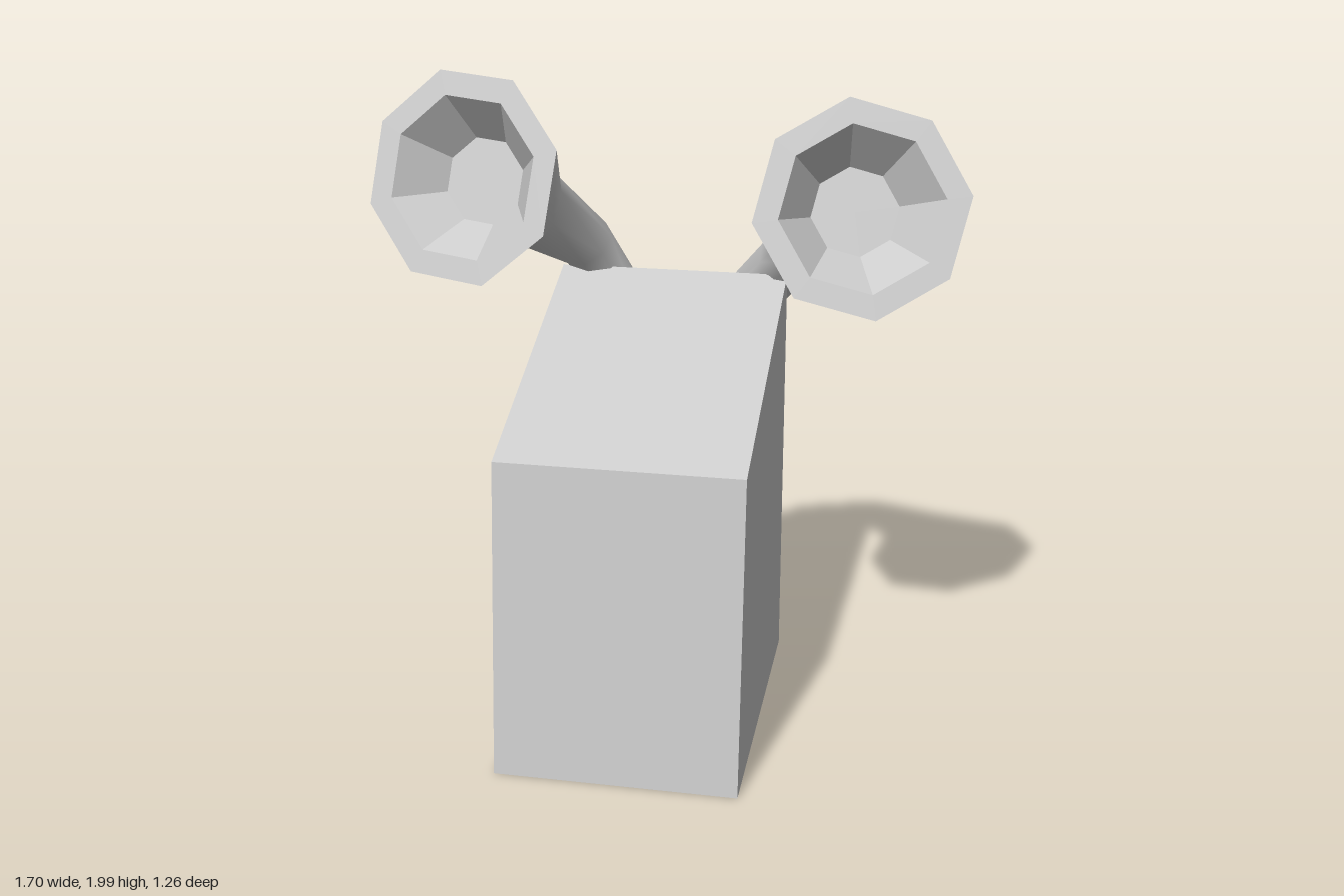
import * as THREE from 'three';

const SIDES = 8;
const grey = new THREE.MeshStandardMaterial({ color: 0xcccccc });
const flatGrey = new THREE.MeshStandardMaterial({ color: 0xcccccc, flatShading: true });

// Skin a list of rings { c: centre, q: orientation, r: radius }
function loft(rings, turn) {
  const pos = [], index = [];
  rings.forEach(({ c, q, r }, i) => {
    for (let j = 0; j < SIDES; j++) {
      const a = turn + (j / SIDES) * Math.PI * 2;
      const p = new THREE.Vector3(r * Math.cos(a), r * Math.sin(a), 0).applyQuaternion(q).add(c);
      pos.push(p.x, p.y, p.z);
      if (i === 0) continue;
      const k = (j + 1) % SIDES, lo = (i - 1) * SIDES, hi = i * SIDES;
      index.push(lo + j, lo + k, hi + k, lo + j, hi + k, hi + j);
    }
  });
  const geo = new THREE.BufferGeometry();
  geo.setAttribute('position', new THREE.Float32BufferAttribute(pos, 3));
  geo.setIndex(index);
  geo.computeVertexNormals();
  return geo;
}

// Bent pipe that flares into a hollow octagonal bell
function makeHorn(name, path, radii, facing, turnDegrees) {
  const pts = path.map((p) => new THREE.Vector3(...p));
  const last = pts.length - 1;
  const normal = new THREE.Vector3(...facing).normalize();
  const dir = (i) => pts[i + 1].clone().sub(pts[i]).normalize();
  const tangents = pts.map((p, i) => {
    if (i === 0) return new THREE.Vector3(0, 1, 0);
    if (i === last) return normal;
    return dir(i - 1).add(dir(i)).normalize();
  });

  // carry the ring orientation from the mouth back to the foot without twist
  const rings = [];
  let q = new THREE.Quaternion().setFromUnitVectors(new THREE.Vector3(0, 0, 1), normal);
  for (let i = last; i >= 0; i--) {
    if (i < last) {
      q = new THREE.Quaternion().setFromUnitVectors(tangents[i + 1], tangents[i]).multiply(q);
    }
    rings.unshift({ c: pts[i], q, r: radii[i] });
  }

  const mouth = rings[last];
  const inside = (r, depth) => ({ c: mouth.c.clone().addScaledVector(normal, -depth), q: mouth.q, r });
  const turn = THREE.MathUtils.degToRad(turnDegrees);

  const horn = new THREE.Group();
  horn.name = name;
  const shell = new THREE.Mesh(loft(rings, turn), grey);
  shell.name = 'hornShell';
  // flat rim, tapering inner wall and floor of the bell
  const bell = new THREE.Mesh(
    loft([mouth, inside(0.237, 0), inside(0.128, 0.13), inside(0, 0.13)], turn).toNonIndexed(),
    flatGrey
  );
  bell.geometry.computeVertexNormals();
  bell.name = 'hornRimAndBowl';
  horn.add(shell, bell);
  return horn;
}

export function createModel() {
  const model = new THREE.Group();
  model.name = 'hornCabinet';

  // Cabinet: side profile (z, y) extruded across x
  const profile = new THREE.Shape(
    [[0.63, 0], [0.53, 0.95], [-0.33, 1.295], [-0.33, 0]].map(([z, y]) => new THREE.Vector2(-z, y))
  );
  const bodyGeo = new THREE.ExtrudeGeometry(profile, { depth: 0.725, bevelEnabled: false });
  bodyGeo.rotateY(Math.PI / 2);
  bodyGeo.translate(-0.44, 0, 0);
  const body = new THREE.Mesh(bodyGeo, flatGrey);
  body.name = 'cabinet';
  model.add(body);

  // Box behind the cabinet that carries the horns
  const box = new THREE.Mesh(new THREE.BoxGeometry(0.59, 0.425, 0.26), flatGrey);
  box.position.set(-0.08, 0.748, -0.5);
  box.name = 'rearBox';
  model.add(box);

  // Horns
  const radii = [0.085, 0.09, 0.09, 0.13, 0.31];
  model.add(
    makeHorn('leftHorn',
      [[-0.005, 0.94, -0.495], [0.07, 1.08, -0.505], [0.265, 1.32, -0.395], [0.435, 1.495, -0.14], [0.55, 1.64, 0.2]],
      radii, [0.25, 0.3, 1], 8),
    makeHorn('rightHorn',
      [[-0.19, 0.94, -0.47], [-0.24, 1.08, -0.465], [-0.37, 1.36, -0.365], [-0.485, 1.565, -0.04], [-0.565, 1.708, 0.305]],
      radii, [-0.26, 0.28, 1], 17)
  );
  return model;
}
